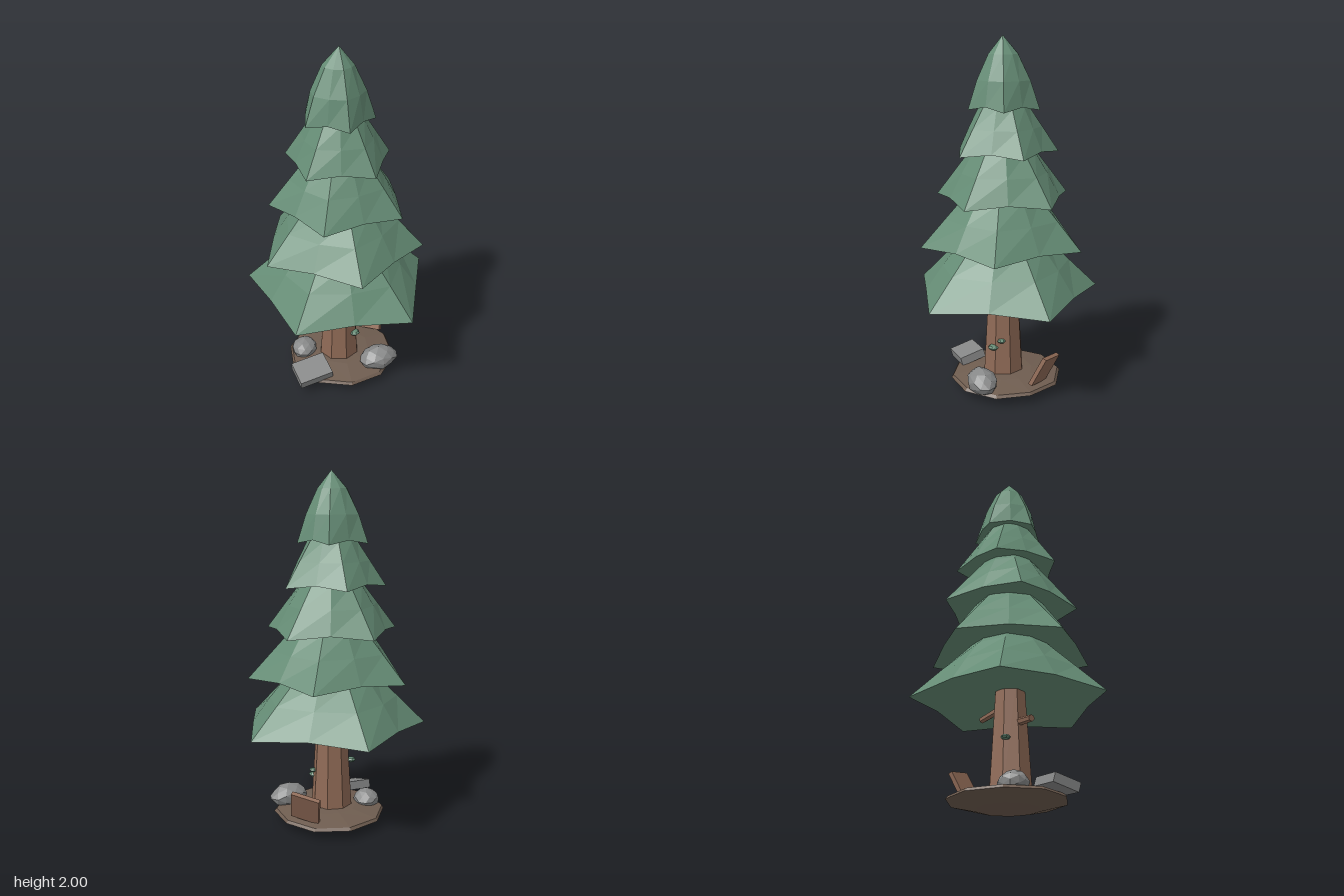
import * as THREE from 'three';

const mat = (name, color) => {
  const m = new THREE.MeshStandardMaterial({ color, flatShading: true });
  m.name = name;
  return m;
};

// Trunk axis
const CX = -0.012, CZ = 0.035;

// One skirt of foliage: five drooping tips, raised mid points, rings narrowing upward
function tierGeometry(tips, y, h, profile) {
  const rim = [];
  tips.forEach(([x, z], i) => {
    const [nx, nz] = tips[(i + 1) % 5];
    rim.push([x - CX, z - CZ], [(x + nx) / 2 - CX, (z + nz) / 2 - CZ]);
  });
  const n = rim.length, pos = [], idx = [];
  profile.forEach(([tipScale, midScale, t], k) => {
    rim.forEach(([x, z], i) => {
      const s = i % 2 ? midScale : tipScale;
      const lift = i % 2 && k === 0 ? 0.022 : 0;
      pos.push(CX + x * s, y + h * t + lift, CZ + z * s);
    });
  });
  const under = pos.length / 3;
  pos.push(CX, y + 0.07, CZ);
  for (let i = 0; i < n; i++) {
    const j = (i + 1) % n;
    for (let k = 0; k < profile.length - 1; k++) {
      const a = k * n + i, b = k * n + j, c = a + n, d = b + n;
      idx.push(b, a, c);
      idx.push(b, c, d);
    }
    idx.push(under, i, j);
  }
  const g = new THREE.BufferGeometry();
  g.setAttribute('position', new THREE.Float32BufferAttribute(pos, 3));
  g.setIndex(idx);
  const flat = g.toNonIndexed();
  flat.computeVertexNormals();
  return flat;
}

// Push vertices in and out by a rule based on their position
function roughen(g, amount) {
  const p = g.attributes.position, v = new THREE.Vector3();
  for (let i = 0; i < p.count; i++) {
    v.fromBufferAttribute(p, i);
    const w = Math.sin(v.x * 7 + 1) + Math.sin(v.z * 9 + 2) + Math.sin(v.y * 8);
    v.multiplyScalar(1 + amount * w / 3);
    p.setXYZ(i, v.x, v.y, v.z);
  }
  g.computeVertexNormals();
  return g;
}

export function createModel() {
  const root = new THREE.Group();
  root.name = 'pineTree';
  const leaf = mat('pineGreen', 0x658c75);
  const bark = mat('barkBrown', 0x8f6a56);
  const soil = mat('soilBrown', 0x6f5d50);
  const stone = mat('stoneGrey', 0x878888);

  const add = (name, geometry, material, position = [0, 0, 0], rotation = [0, 0, 0]) => {
    const m = new THREE.Mesh(geometry, material);
    m.name = name;
    m.position.set(...position);
    m.rotation.set(...rotation, 'YXZ');
    root.add(m);
    return m;
  };

  // Foliage tiers, tips listed from the back round by the left side
  const skirt = [[1, 1, 0], [0.7, 0.78, 0.58], [0.47, 0.56, 1.02], [0.28, 0.34, 1.4], [0, 0, 1.55]];
  const crown = [[1, 1, 0], [0.74, 0.84, 0.4], [0.41, 0.5, 0.75], [0, 0, 1]];
  const tiers = [
    [0.575, 0.28, [[0, -0.51], [0.517, -0.125], [0.31, 0.483], [-0.33, 0.472], [-0.522, -0.139]]],
    [0.855, 0.27, [[0.247, -0.355], [0.447, 0.153], [0.022, 0.503], [-0.44, 0.206], [-0.303, -0.322]]],
    [1.12, 0.26, [[-0.1, -0.347], [0.322, -0.17], [0.283, 0.286], [-0.158, 0.389], [-0.397, 0.005]]],
    [1.375, 0.24, [[0.022, -0.27], [0.28, -0.028], [0.133, 0.29], [-0.222, 0.247], [-0.283, -0.103]]],
    [1.61, 0.39, [[0.078, -0.153], [0.18, 0.06], [0.008, 0.228], [-0.203, 0.12], [-0.164, -0.12]]],
  ];
  tiers.forEach(([y, h, tips], i) =>
    add(`foliageTier${i + 1}`, tierGeometry(tips, y, h, i === 4 ? crown : skirt), leaf));

  // Trunk
  add('trunk', new THREE.CylinderGeometry(0.083, 0.121, 0.64, 8), bark, [CX, 0.37, CZ], [0, 0.2, 0]);

  // Broken branch stubs
  const stub = (name, from, to) => {
    const a = new THREE.Vector3(...from), b = new THREE.Vector3(...to);
    const d = b.clone().sub(a);
    const m = add(name, new THREE.CylinderGeometry(0.018, 0.022, d.length(), 6), bark,
      a.clone().add(b).multiplyScalar(0.5).toArray());
    m.quaternion.setFromUnitVectors(new THREE.Vector3(0, 1, 0), d.normalize());
  };
  stub('rightBranchStub', [-0.04, 0.46, 0.05], [-0.21, 0.437, 0.1]);
  stub('leftBranchStub', [0.02, 0.56, 0], [0.16, 0.53, -0.085]);

  // Moss clumps on the bark
  [[0.068, 0.25, 0.105, 1], [0.09, 0.295, 0.062, 0.75], [-0.115, 0.357, -0.015, 0.85]].forEach(([x, y, z, s], i) => {
    const m = add(`moss${i + 1}`, new THREE.SphereGeometry(0.032, 7, 4), leaf, [x, y, z]);
    m.scale.set(s, s * 0.5, s);
  });

  // Soil mound
  const mound = [[0, 0], [0.17, 0.012], [0.322, 0.05], [0.31, 0.066], [0.16, 0.088], [0, 0.095]]
    .map(([r, y]) => new THREE.Vector2(r, y));
  const soilGeometry = new THREE.LatheGeometry(mound, 10);
  const sp = soilGeometry.attributes.position;
  for (let i = 0; i < sp.count; i++) {
    const k = 1 + 0.035 * Math.sin(sp.getX(i) * 17 + sp.getZ(i) * 11);
    sp.setX(i, sp.getX(i) * k);
    sp.setZ(i, sp.getZ(i) * k);
  }
  soilGeometry.computeVertexNormals();
  add('soilMound', soilGeometry, soil, [0.007, 0, 0.027]);

  // Rounded rocks
  const rock = (name, p, s, turn) =>
    add(name, roughen(new THREE.IcosahedronGeometry(1, 1), 0.1), stone, p, [0, turn, 0]).scale.set(...s);
  rock('frontRock', [0.2, 0.11, 0.19], [0.115, 0.07, 0.082], 0.2);
  rock('sideRock', [-0.22, 0.095, 0], [0.08, 0.06, 0.075], 1.1);

  // Flat stone slab
  add('stoneSlab', new THREE.BoxGeometry(0.2, 0.05, 0.15), stone, [-0.21, 0.1, 0.225], [0.25, 0.25, 0.1]);

  // Leaning plank
  add('plank', new THREE.BoxGeometry(0.165, 0.18, 0.024), bark, [0.222, 0.165, -0.16], [0.42, Math.PI * 0.75, -0.2]);

  return root;
}
